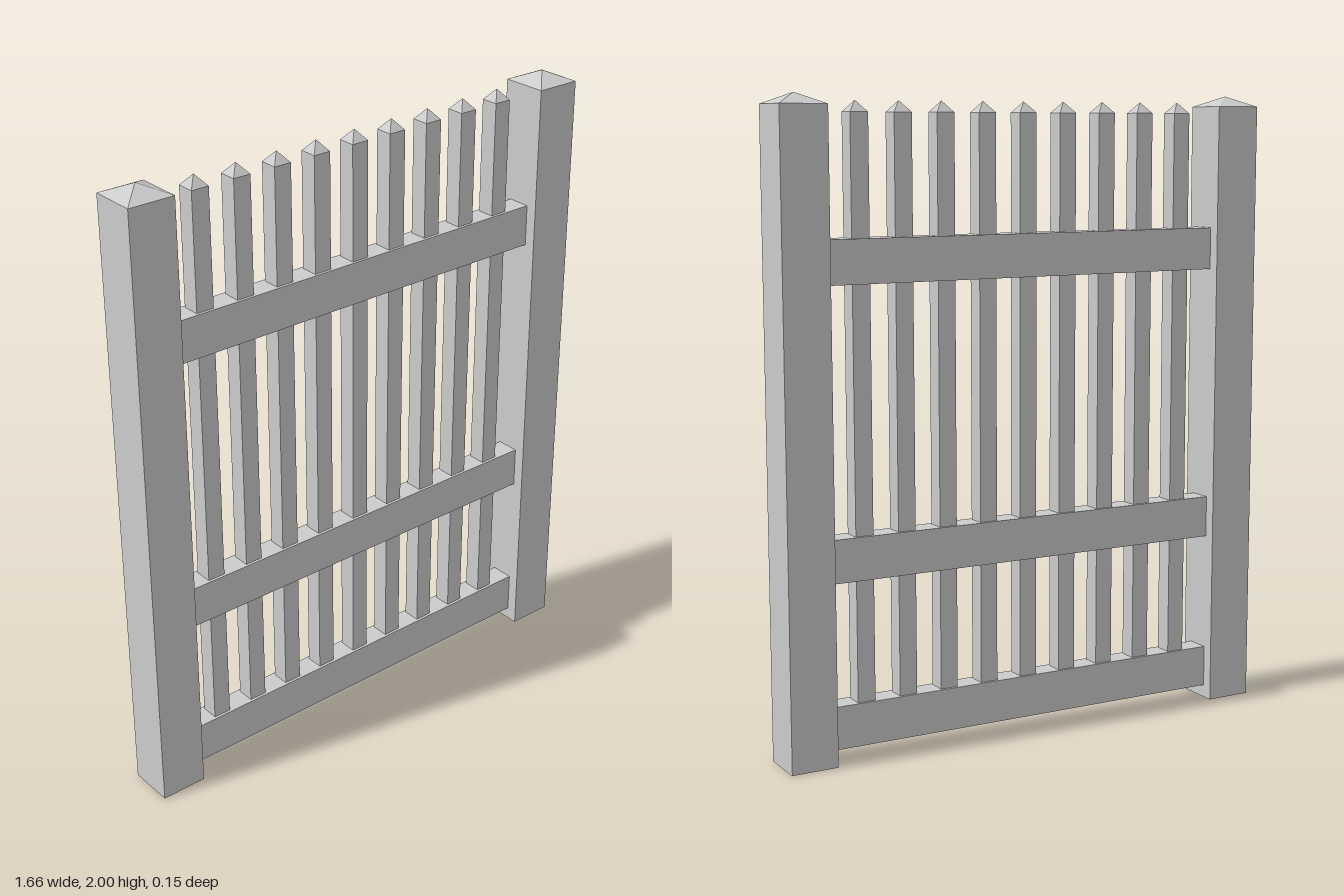
import * as THREE from 'three';

const material = new THREE.MeshStandardMaterial({ color: 0xcccccc, flatShading: true });

// Square upright with a pyramid point, from y = bottom to y = tip
function pointedUpright(name, width, bottom, shoulder, tip) {
  const r = width / Math.SQRT2;
  const profile = [[0, bottom], [r, bottom], [r, shoulder], [0, tip]].map(([x, y]) => new THREE.Vector2(x, y));
  const geometry = new THREE.LatheGeometry(profile, 4).rotateY(Math.PI / 4);
  const mesh = new THREE.Mesh(geometry, material);
  mesh.name = name;
  return mesh;
}

export function createModel() {
  const gate = new THREE.Group();
  gate.name = 'fencePanel';

  // End posts
  for (const side of [1, -1]) {
    const post = pointedUpright(side > 0 ? 'leftPost' : 'rightPost', 0.15, 0, 1.967, 2);
    post.position.x = side * 0.755;
    gate.add(post);
  }

  // Horizontal rails between the posts
  const railNames = ['bottomRail', 'middleRail', 'topRail'];
  [0.108, 0.622, 1.512].forEach((y, i) => {
    const rail = new THREE.Mesh(new THREE.BoxGeometry(1.36, 0.134, 0.076), material);
    rail.name = railNames[i];
    rail.position.y = y;
    gate.add(rail);
  });

  // Slim pointed pickets running through the rails
  const pickets = new THREE.Group();
  pickets.name = 'pickets';
  for (let i = 0; i < 9; i++) {
    const picket = pointedUpright(`picket${i + 1}`, 0.058, 0.11, 1.945, 1.979);
    picket.position.x = (i - 4) * 0.1413 - 0.002;
    pickets.add(picket);
  }
  gate.add(pickets);

  return gate;
}
